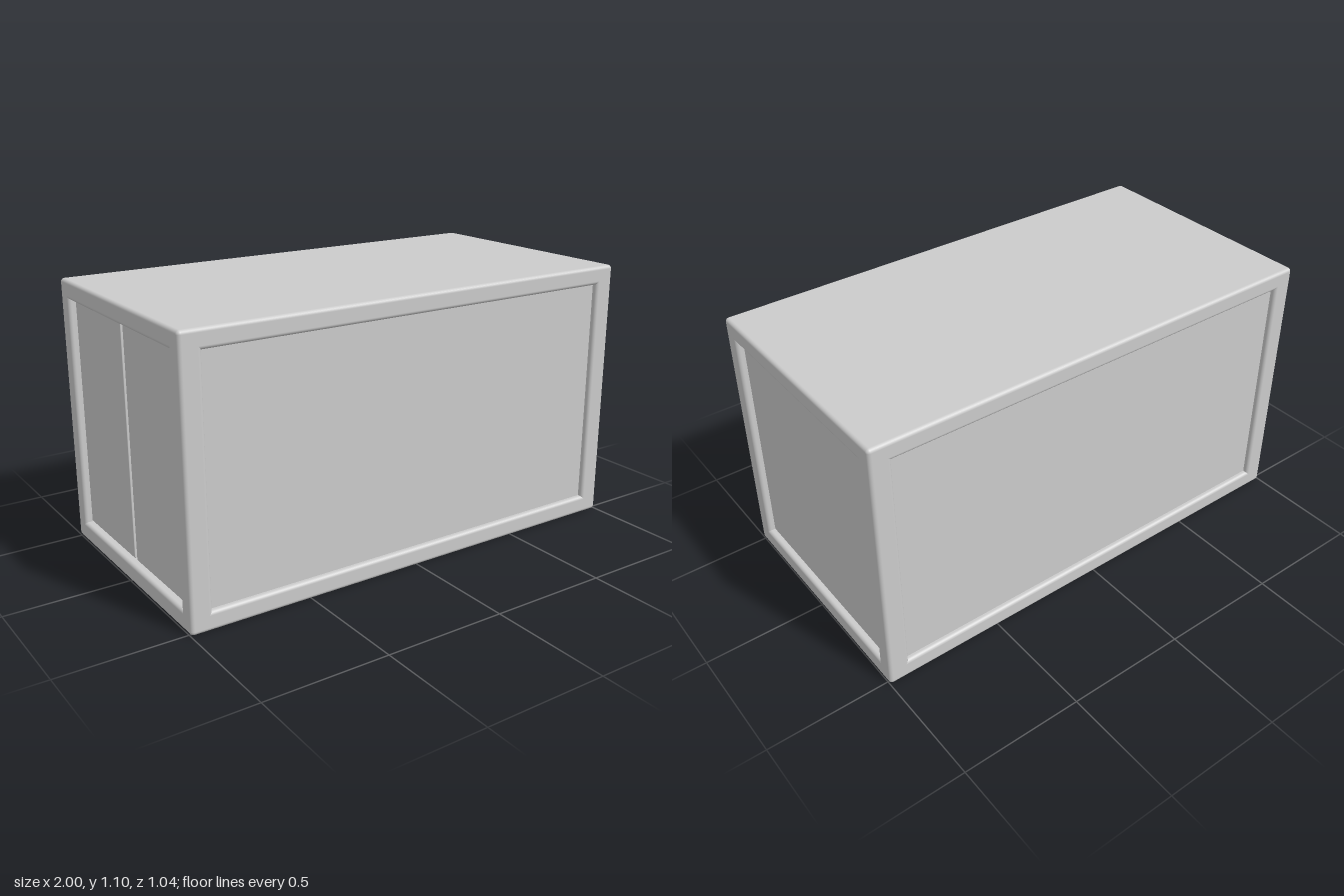
import * as THREE from 'three';
import { RoundedBoxGeometry } from 'three/addons/geometries/RoundedBoxGeometry.js';

const LENGTH = 2, HEIGHT = 1.1, DEPTH = 1.04;
const SLAB = 0.076;                  // thickness of floor and roof
const POST_X = 0.087, POST_Z = 0.073; // corner post section
const ROUND = 0.015;

export function createModel() {
  const model = new THREE.Group();
  model.name = 'container';
  const material = new THREE.MeshStandardMaterial({ color: 0xcccccc });

  const add = (name, geometry, x, y, z) => {
    const mesh = new THREE.Mesh(geometry, material);
    mesh.name = name;
    mesh.position.set(x, y, z);
    model.add(mesh);
  };
  const rounded = (w, h, d, r = ROUND) => new RoundedBoxGeometry(w, h, d, 4, r);

  // Floor and roof slabs
  add('floor', rounded(LENGTH, SLAB, DEPTH), 0, SLAB / 2, 0);
  add('roof', rounded(LENGTH, SLAB, DEPTH), 0, HEIGHT - SLAB / 2, 0);

  // Four corner posts
  for (const sx of [-1, 1]) {
    for (const sz of [-1, 1]) {
      add('cornerPost', rounded(POST_X, HEIGHT, POST_Z),
        sx * (LENGTH - POST_X) / 2, HEIGHT / 2, sz * (DEPTH - POST_Z) / 2);
    }
  }

  // Long walls, set back slightly from the frame
  const wall = 0.03, wallHeight = HEIGHT - SLAB;
  const longInset = 0.022, endInset = 0.03;
  for (const sz of [-1, 1]) {
    add(sz > 0 ? 'frontWall' : 'backWall',
      new THREE.BoxGeometry(LENGTH - POST_X, wallHeight, wall),
      0, HEIGHT / 2, sz * (DEPTH / 2 - longInset - wall / 2));
  }

  // Closed end wall
  add('endWall', new THREE.BoxGeometry(wall, wallHeight, DEPTH - POST_Z),
    LENGTH / 2 - endInset - wall / 2, HEIGHT / 2, 0);

  // Door end: backing panel and a pair of doors with narrow gaps
  const doorInset = 0.028, doorThickness = 0.025;
  add('doorBacking', new THREE.BoxGeometry(wall, wallHeight, DEPTH - POST_Z),
    -LENGTH / 2 + doorInset + doorThickness - 0.002 + wall / 2, HEIGHT / 2, 0);
  const inner = 0.01, outer = DEPTH / 2 - POST_Z - 0.007;
  for (const sz of [-1, 1]) {
    add(sz > 0 ? 'frontDoor' : 'backDoor',
      rounded(doorThickness, HEIGHT - 2 * SLAB - 0.014, outer - inner, 0.003),
      -LENGTH / 2 + doorInset + doorThickness / 2, HEIGHT / 2, sz * (inner + outer) / 2);
  }

  return model;
}
